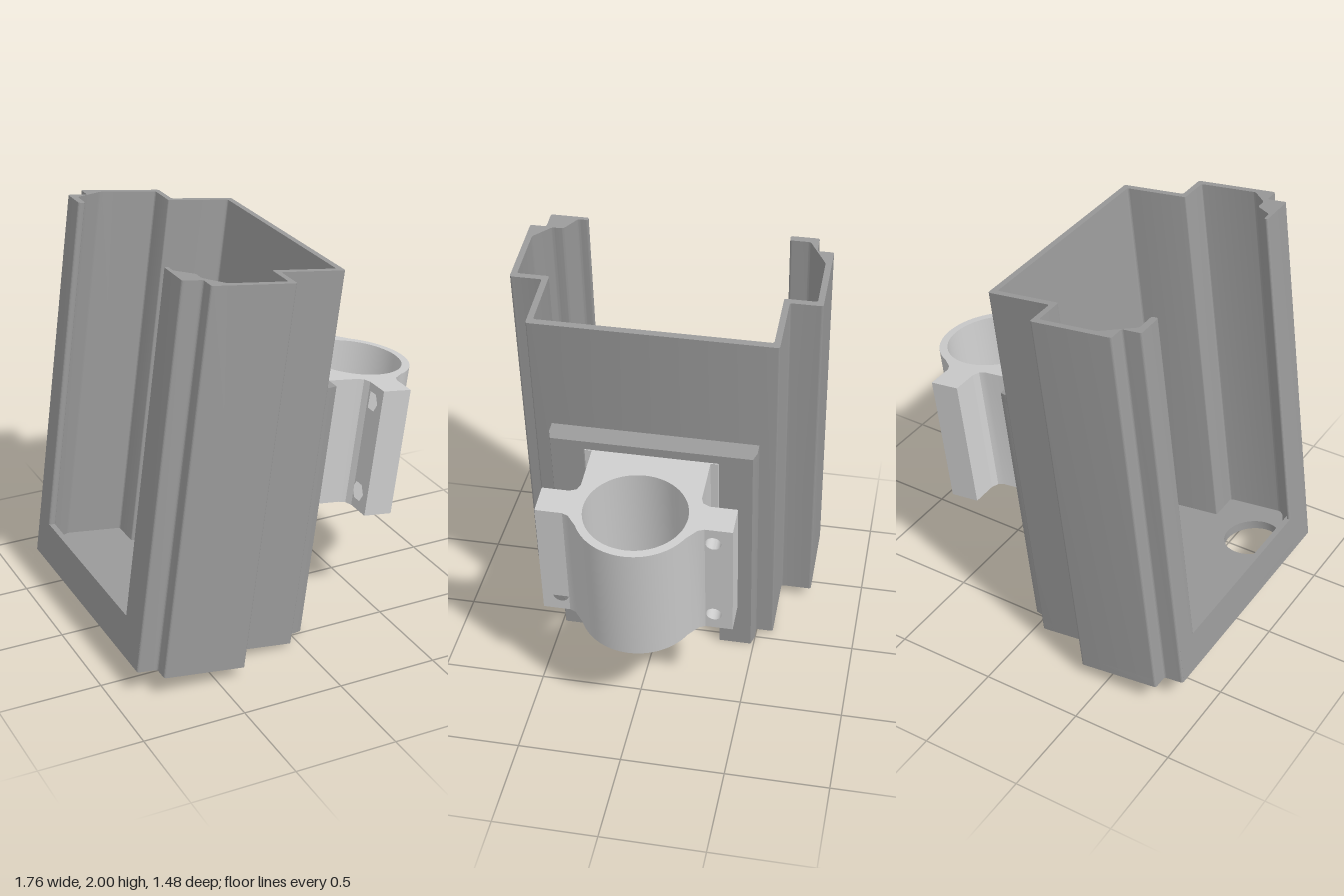
import * as THREE from 'three';
import { toCreasedNormals } from 'three/addons/utils/BufferGeometryUtils.js';

const bodyMat = new THREE.MeshStandardMaterial({ color: 0x999999 });
const clampMat = new THREE.MeshStandardMaterial({ color: 0xcccccc });

// Outline through [x, z] points; corners rounded when r > 0
function outline(pts, r = 0) {
  const s = new THREE.Shape();
  const v = pts.map(([x, z]) => new THREE.Vector2(x, -z));
  v.forEach((p, i) => {
    const prev = v[(i + v.length - 1) % v.length], next = v[(i + 1) % v.length];
    const cut = (q) => p.clone().lerp(q, Math.min(0.45, r / p.distanceTo(q)));
    const a = cut(prev), b = cut(next);
    if (i === 0) s.moveTo(a.x, a.y); else s.lineTo(a.x, a.y);
    if (r > 0) s.quadraticCurveTo(p.x, p.y, b.x, b.y);
  });
  s.closePath();
  return s;
}

function hole(shape, x, y, r, sides = 40) {
  const pts = [];
  for (let i = 0; i < sides; i++) {
    const a = (-i / sides) * Math.PI * 2;
    pts.push(new THREE.Vector2(x + r * Math.cos(a), y + r * Math.sin(a)));
  }
  shape.holes.push(new THREE.Path(pts));
}

function extrude(shape, depth) {
  return new THREE.ExtrudeGeometry(shape, { depth, bevelEnabled: false, curveSegments: 6 });
}

function add(parent, name, geo, mat) {
  const m = new THREE.Mesh(toCreasedNormals(geo, 0.5), mat);
  m.name = name;
  parent.add(m);
  return m;
}

// Extrusion running up the model from y0 to y1
const upright = (shape, y0, y1) => extrude(shape, y1 - y0).rotateX(-Math.PI / 2).translate(0, y0, 0);

const box = (x0, x1, y0, y1, z0, z1) =>
  new THREE.BoxGeometry(x1 - x0, y1 - y0, z1 - z0).translate((x0 + x1) / 2, (y0 + y1) / 2, (z0 + z1) / 2);

const mirrorZ = (pts) => pts.map(([x, z]) => [x, -z]).reverse();

function buildHolder() {
  const g = new THREE.Group();
  g.name = 'holder';
  const H = 1.888;

  // Stepped C-shaped wall with a lip on each side of the open back
  const outer = [[0, 0.66], [0.1, 0.66], [0.1, 0.74], [0.515, 0.74], [0.515, 0.585], [0.843, 0.585]];
  const innerLeft = [[0.81, 0.555], [0.485, 0.555], [0.485, 0.71], [0.19, 0.71],
    [0.105, 0.63], [0.105, 0.575], [0.02, 0.52], [0.02, 0.47]];
  const innerRight = [[0.035, -0.52], [0.035, -0.62], [0.19, -0.71], [0.485, -0.71], [0.485, -0.555], [0.81, -0.555]];
  const wall = [[0, 0.47], ...outer, ...mirrorZ(outer), [0, -0.52], ...innerRight, ...innerLeft];
  add(g, 'wall', upright(outline(wall, 0.012), 0, H), bodyMat);

  // Floor with a drain hole, and the sill across the open back
  const floor = outline([...outer, ...mirrorZ(outer)], 0.012);
  hole(floor, 0.215, -0.445, 0.145);
  add(g, 'floor', upright(floor, 0, 0.045), bodyMat);
  add(g, 'sill', box(0, 0.03, 0.002, 0.2, -0.65, 0.65), bodyMat);

  // Undercut slide rails and their top stop
  const rail = [[0.84, 0.44], [0.84, 0.5], [0.9, 0.5], [0.947, 0.485], [0.947, 0.325], [0.897, 0.325], [0.897, 0.44]];
  for (const pts of [rail, mirrorZ(rail)]) add(g, 'slideRail', upright(outline(pts), 0, 1.24), bodyMat);
  const stop = [[0.84, 0.5], [0.9, 0.5], [0.947, 0.485]];
  add(g, 'railStop', upright(outline([...stop, ...mirrorZ(stop)]), 1.24, 1.288), bodyMat);
  return g;
}

function buildClamp() {
  const g = new THREE.Group();
  g.name = 'tubeClamp';
  const y0 = 0.585, y1 = 1.235, cx = 1.32, R = 0.285;

  // Slide plate and neck held by the rails
  add(g, 'slidePlate', box(0.846, 0.893, y0, y1, -0.43, 0.43), clampMat);
  add(g, 'slideNeck', box(0.89, 0.947, y0, y1, -0.32, 0.32), clampMat);

  // Block and ring, with fillets where the ears start
  const side = [[0.945, R], [1.185, R], [1.215, 0.297], [1.23, 0.33], [1.38, 0.33], [1.393, 0.3]];
  const arc = [];
  for (let i = 0; i <= 28; i++) {
    const a = 1.1 - (2.2 * i) / 28;
    arc.push([cx + R * Math.cos(a), R * Math.sin(a)]);
  }
  const ring = outline([...side, ...arc, ...mirrorZ(side)]);
  hole(ring, cx, 0, 0.245, 56);
  add(g, 'clampRing', upright(ring, y0, y1), clampMat);

  // Bolt ears: hexagonal nut pockets behind, round bolt holes in front
  for (const s of [-1, 1]) {
    const layers = [['earBack', 1.23, 1.3, 0.05, 6], ['earFront', 1.3, 1.38, 0.037, 24]];
    for (const [name, x0, x1, r, sides] of layers) {
      const ear = outline([[s * 0.325, -y0], [s * 0.46, -y0], [s * 0.46, -y1], [s * 0.325, -y1]]);
      for (const y of [0.677, 1.15]) hole(ear, s * 0.37, y, r, sides);
      add(g, name, extrude(ear, x1 - x0).rotateY(Math.PI / 2).scale(1, 1, 1).translate(x0, 0, 0), clampMat);
    }
  }
  return g;
}

export function createModel() {
  const model = new THREE.Group();
  model.name = 'clampOnHolder';
  // The whole assembly leans toward the clamp
  const tilted = new THREE.Group();
  tilted.name = 'tiltedAssembly';
  tilted.add(buildHolder(), buildClamp());
  tilted.rotation.z = -0.1353;
  tilted.position.set(-0.88, 0.128, 0);
  model.add(tilted);
  return model;
}
